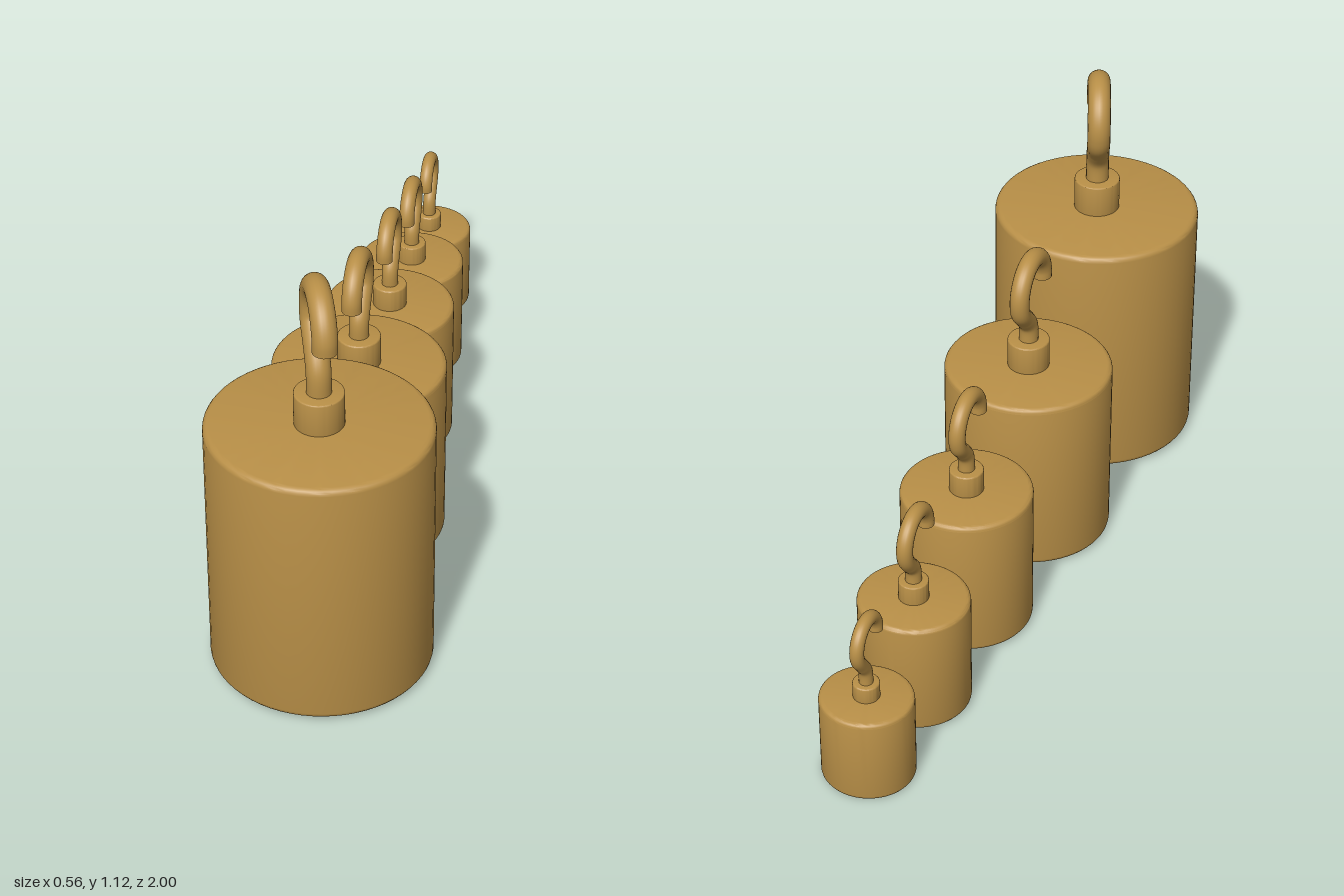
import * as THREE from 'three';
import { toCreasedNormals } from 'three/addons/utils/BufferGeometryUtils.js';

const brass = new THREE.MeshStandardMaterial({ color: 0xb88f47 });
brass.name = 'brass';

// Each weight: centre, body radii, base and top heights, neck and hook sizes
const WEIGHTS = [
  { x: -0.001, z: 0.727, rx: 0.281, rz: 0.273, base: 0.01, top: 0.713, neckR: 0.062, neckTop: 0.802, hookTop: 1.12, hookW: 0.124, wire: 0.031, shift: 0.003, turn: 0.36 },
  { x: -0.002, z: 0.203, rx: 0.226, rz: 0.218, base: 0.008, top: 0.525, neckR: 0.056, neckTop: 0.605, hookTop: 0.865, hookW: 0.109, wire: 0.026, shift: 0.015, turn: 0 },
  { x: 0.002, z: -0.23, rx: 0.174, rz: 0.172, base: 0.007, top: 0.415, neckR: 0.045, neckTop: 0.478, hookTop: 0.71, hookW: 0.095, wire: 0.022, shift: 0.012, turn: 0 },
  { x: 0.002, z: -0.585, rx: 0.145, rz: 0.14, base: 0.003, top: 0.328, neckR: 0.039, neckTop: 0.382, hookTop: 0.595, hookW: 0.09, wire: 0.021, shift: 0.018, turn: 0 },
  { x: 0.003, z: -0.885, rx: 0.12, rz: 0.115, base: 0, top: 0.246, neckR: 0.034, neckTop: 0.29, hookTop: 0.49, hookW: 0.076, wire: 0.018, shift: 0.01, turn: 0 },
];

function part(name, geometry) {
  const mesh = new THREE.Mesh(geometry, brass);
  mesh.name = name;
  return mesh;
}

// Solid cylinder with rounded rims
function roundedCylinder(r, y0, y1, bevelBottom, bevelTop) {
  const pts = [new THREE.Vector2(0, y0)];
  const rim = (b, cy, from) => {
    for (let i = 0; i <= 4; i++) {
      const a = from + (i / 4) * Math.PI / 2;
      pts.push(new THREE.Vector2(r - b + b * Math.cos(a), cy + b * Math.sin(a)));
    }
  };
  rim(bevelBottom, y0 + bevelBottom, -Math.PI / 2);
  rim(bevelTop, y1 - bevelTop, 0);
  pts.push(new THREE.Vector2(0, y1));
  return toCreasedNormals(new THREE.LatheGeometry(pts, 64), 0.5);
}

// Question-mark wire in the y-z plane, opening toward +z
function makeHook(w) {
  const R = w.hookW - w.wire;
  const cy = w.hookTop - w.hookW;
  const drop = cy - w.neckTop;
  const pts = [];
  for (let i = 0; i <= 12; i++) {
    const a = THREE.MathUtils.degToRad(-8 + (i / 12) * 213);
    pts.push(new THREE.Vector3(0, cy + R * Math.sin(a), w.shift + R * Math.cos(a)));
  }
  pts.push(
    new THREE.Vector3(0, cy - 0.46 * drop, -0.36 * R),
    new THREE.Vector3(0, cy - 0.7 * drop, -0.04 * R),
    new THREE.Vector3(0, w.neckTop - 0.02, 0),
  );
  const curve = new THREE.CatmullRomCurve3(pts);
  const hook = new THREE.Group();
  hook.name = 'hook';
  hook.add(part('hookWire', new THREE.TubeGeometry(curve, 80, w.wire, 20)));

  // Flat cut at the free end
  const cap = part('hookTip', new THREE.CircleGeometry(w.wire, 20));
  cap.position.copy(curve.getPointAt(0));
  cap.quaternion.setFromUnitVectors(new THREE.Vector3(0, 0, 1), curve.getTangentAt(0).negate());
  hook.add(cap);
  hook.rotation.y = w.turn;
  return hook;
}

export function createModel() {
  const model = new THREE.Group();
  model.name = 'hookedWeights';
  WEIGHTS.forEach((w, i) => {
    const weight = new THREE.Group();
    weight.name = `weight${i + 1}`;
    weight.position.set(w.x, 0, w.z);

    const bevel = 0.008 + w.rz * 0.03;
    const body = part('body', roundedCylinder(w.rz, w.base, w.top, bevel, bevel));
    body.scale.x = w.rx / w.rz;
    const neck = part('neck', roundedCylinder(w.neckR, w.top - 0.01, w.neckTop, 0.003, 0.004));
    weight.add(body, neck, makeHook(w));
    model.add(weight);
  });
  return model;
}
